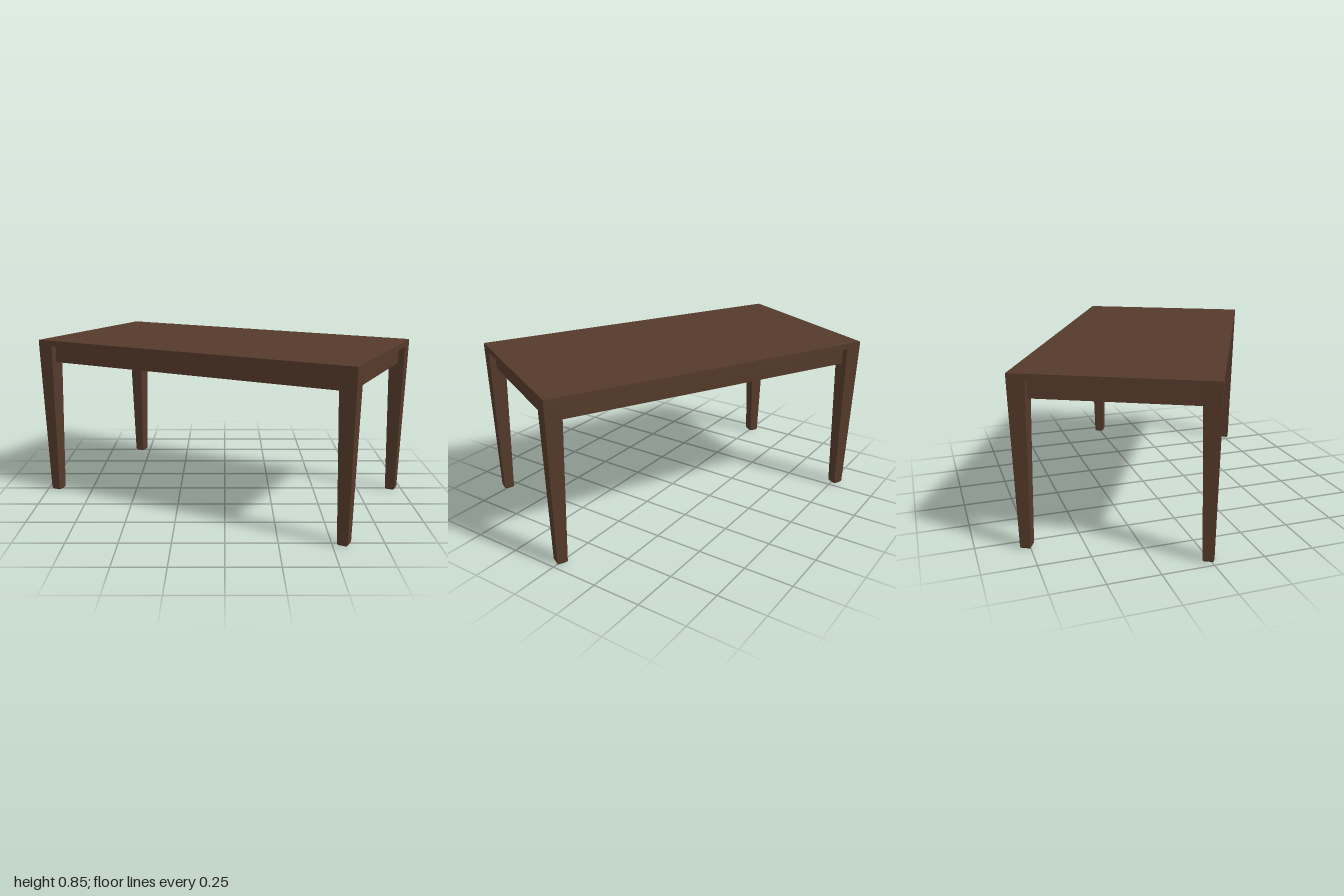
import * as THREE from 'three';

const LENGTH = 1.769, DEPTH = 0.937, HEIGHT = 0.85, TOP = 0.03;
const LEG_TOP = 0.085, LEG_FOOT = 0.052, APRON_H = 0.09, APRON_T = 0.018;

// Square tapered leg with a small chamfer at the foot
function legGeometry() {
  const profile = [
    [0, 0], [LEG_FOOT - 0.012, 0], [LEG_FOOT, 0.008], [LEG_TOP, HEIGHT - TOP], [0, HEIGHT - TOP],
  ].map(([w, y]) => new THREE.Vector2(w * Math.SQRT1_2, y));
  const geometry = new THREE.LatheGeometry(profile, 4, Math.PI / 4).toNonIndexed();
  geometry.computeVertexNormals();
  return geometry;
}

export function createModel() {
  const wood = new THREE.MeshStandardMaterial({ color: 0x553a2b });
  wood.name = 'dark wood';

  const table = new THREE.Group();
  table.name = 'table';
  table.rotation.y = -0.4725;

  const add = (name, geometry, x, y, z) => {
    const mesh = new THREE.Mesh(geometry, wood);
    mesh.name = name;
    mesh.position.set(x, y, z);
    table.add(mesh);
  };

  // Table top
  add('tableTop', new THREE.BoxGeometry(LENGTH, TOP, DEPTH), 0, HEIGHT - TOP / 2, 0);

  // Legs flush with the corners
  const legX = (LENGTH - LEG_TOP) / 2, legZ = (DEPTH - LEG_TOP) / 2;
  const leg = legGeometry();
  for (const sx of [-1, 1]) {
    for (const sz of [-1, 1]) {
      add((sz > 0 ? 'front' : 'back') + (sx > 0 ? 'Left' : 'Right') + 'Leg', leg, sx * legX, 0, sz * legZ);
    }
  }

  // Apron rails running between the legs
  const railY = HEIGHT - TOP - APRON_H / 2;
  const longRail = new THREE.BoxGeometry(2 * legX - 0.06, APRON_H, APRON_T);
  const shortRail = new THREE.BoxGeometry(APRON_T, APRON_H, 2 * legZ - 0.06);
  for (const s of [-1, 1]) {
    add(s > 0 ? 'frontApron' : 'backApron', longRail, 0, railY, s * legZ);
    add(s > 0 ? 'leftApron' : 'rightApron', shortRail, s * legX, railY, 0);
  }

  const model = new THREE.Group();
  model.name = 'diningTable';
  model.add(table);
  return model;
}
